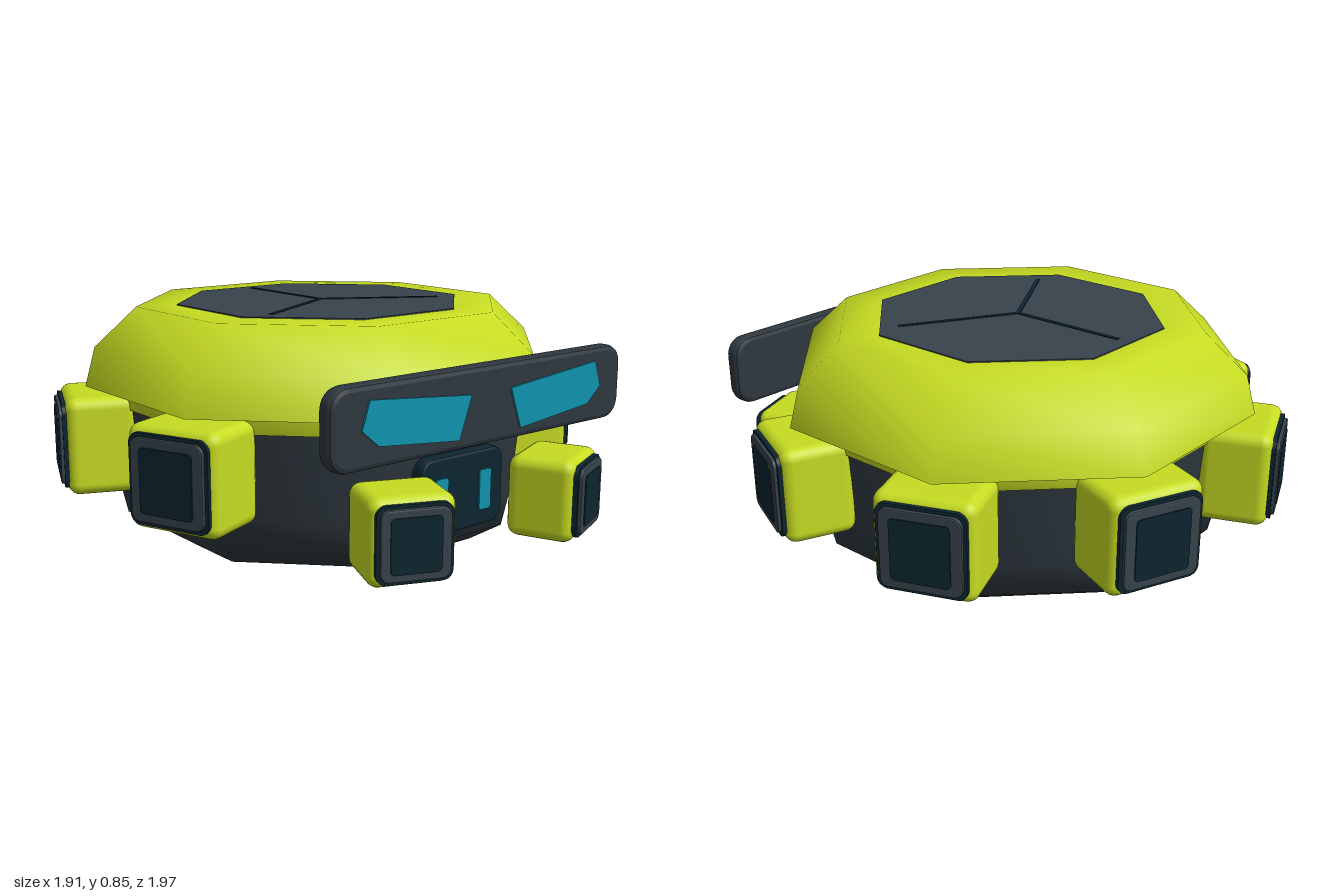
import * as THREE from 'three';
import { RoundedBoxGeometry } from 'three/addons/geometries/RoundedBoxGeometry.js';

const CZ = -0.035; // body axis
const OCT = 1 / Math.cos(Math.PI / 8); // flat radius to corner radius

const material = (name, color) => {
  const m = new THREE.MeshStandardMaterial({ color });
  m.name = name;
  return m;
};

export function createModel() {
  const lime = material('lime', 0xc6dc22);
  const charcoal = material('charcoal', 0x2e383f);
  const slate = material('slate', 0x37434b);
  const navy = material('navy', 0x0d2530);
  const cyan = material('cyan', 0x0f92ae);

  const model = new THREE.Group();
  model.name = 'octagonalRobot';

  const add = (name, geometry, mat, x = 0, y = 0, z = 0, parent = model) => {
    const mesh = new THREE.Mesh(geometry, mat);
    mesh.name = name;
    mesh.position.set(x, y, z);
    parent.add(mesh);
    return mesh;
  };

  // eight-sided turned solid; profile gives distance to the flats and height
  const octagon = (name, profile, mat) => add(name,
    new THREE.LatheGeometry(profile.map(([r, y]) => new THREE.Vector2(r * OCT, y)), 8, Math.PI / 8),
    mat, 0, 0, CZ);

  // rectangle with rounded corners
  const roundRect = (w, h, r) => {
    const s = new THREE.Shape(), a = w / 2 - r, b = h / 2 - r;
    s.absarc(a, b, r, 0, Math.PI / 2);
    s.absarc(-a, b, r, Math.PI / 2, Math.PI);
    s.absarc(-a, -b, r, Math.PI, Math.PI * 1.5);
    s.absarc(a, -b, r, Math.PI * 1.5, Math.PI * 2);
    return s;
  };
  const plate = (shape, depth, bevel = 0) => new THREE.ExtrudeGeometry(shape, {
    depth: depth - 2 * bevel, bevelEnabled: bevel > 0, bevelSize: bevel,
    bevelThickness: bevel, bevelOffset: -bevel, bevelSegments: 2, curveSegments: 5,
  }).translate(0, 0, bevel);

  // hull and shell
  octagon('hull', [[0, 0.008], [0.45, 0.008], [0.57, 0.008], [0.68, 0.08], [0.705, 0.2], [0.735, 0.5], [0.735, 0.56]], charcoal);
  octagon('shellRim', [[0.73, 0.5], [0.745, 0.5], [0.745, 0.56]], lime);
  octagon('shellUnderside', [[0.72, 0.56], [0.805, 0.56]], lime);
  octagon('shell', [[0.805, 0.56], [0.77, 0.7], [0.63, 0.838], [0.5, 0.838], [0, 0.838]], lime);

  // flat panels on top and bottom
  const panel = (r, h) => new THREE.CylinderGeometry(r * OCT, r * OCT, h, 8, 1, false, Math.PI / 8);
  add('topPanel', panel(0.495, 0.008), slate, 0, 0.838, CZ);
  add('bottomPanel', panel(0.48, 0.009), charcoal, 0, 0.0045, CZ);
  for (let i = 0; i < 3; i++) {
    const seam = add('topSeam', new THREE.BoxGeometry(0.016, 0.006, 0.445).translate(0, 0, -0.2225), navy, 0, 0.842, CZ);
    seam.rotation.y = i * Math.PI * 2 / 3;
  }

  // visor with slanted eyes
  add('visor', plate(roundRect(1.31, 0.262, 0.07), 0.062, 0.018), charcoal, 0, 0.591, 0.779);
  for (const s of [1, -1]) {
    const eye = [[0.51, 0.675], [0.54, 0.585], [0.475, 0.53], [0.14, 0.495], [0.09, 0.635]];
    const shape = new THREE.Shape(eye.map(([x, y]) => new THREE.Vector2(s * x, y)));
    add(s > 0 ? 'leftEye' : 'rightEye', plate(shape, 0.007), cyan, 0, 0, 0.84);
  }

  // mouth panel with two lit slots
  add('mouthPanel', plate(roundRect(0.38, 0.27, 0.05), 0.08, 0.012), navy, 0, 0.275, 0.65);
  for (const s of [1, -1]) {
    add(s > 0 ? 'leftMouthSlot' : 'rightMouthSlot', plate(roundRect(0.054, 0.14, 0.01), 0.007), cyan, s * 0.1, 0.268, 0.729);
  }

  // pod: rounded block with a framed lens facing +z before turning
  const addPod = (name, angle, reach, y, size, depth) => {
    const pod = new THREE.Group();
    pod.name = name;
    pod.position.set(0, y, CZ);
    pod.rotation.y = angle;
    model.add(pod);
    add('podBlock', new RoundedBoxGeometry(size, size, depth, 3, 0.04), lime, 0, 0, reach - depth / 2, pod);
    const k = size / 0.345;
    add('lensGasket', plate(roundRect(0.3 * k, 0.3 * k, 0.035), 0.018), navy, 0, 0, reach - 0.008, pod);
    add('lensFrame', plate(roundRect(0.275 * k, 0.275 * k, 0.03), 0.026, 0.005), slate, 0, 0, reach - 0.004, pod);
    add('lens', plate(roundRect(0.2 * k, 0.215 * k, 0.015), 0.006), navy, 0, 0, reach + 0.02, pod);
  };
  for (let i = 0; i < 8; i++) {
    const angle = Math.PI / 8 + i * Math.PI / 4;
    if (i === 0 || i === 7) addPod('frontPod', angle, 1.035, 0.235, 0.285, 0.235);
    else addPod('sidePod', angle, 0.955, 0.375, 0.345, 0.25);
  }
  return model;
}
